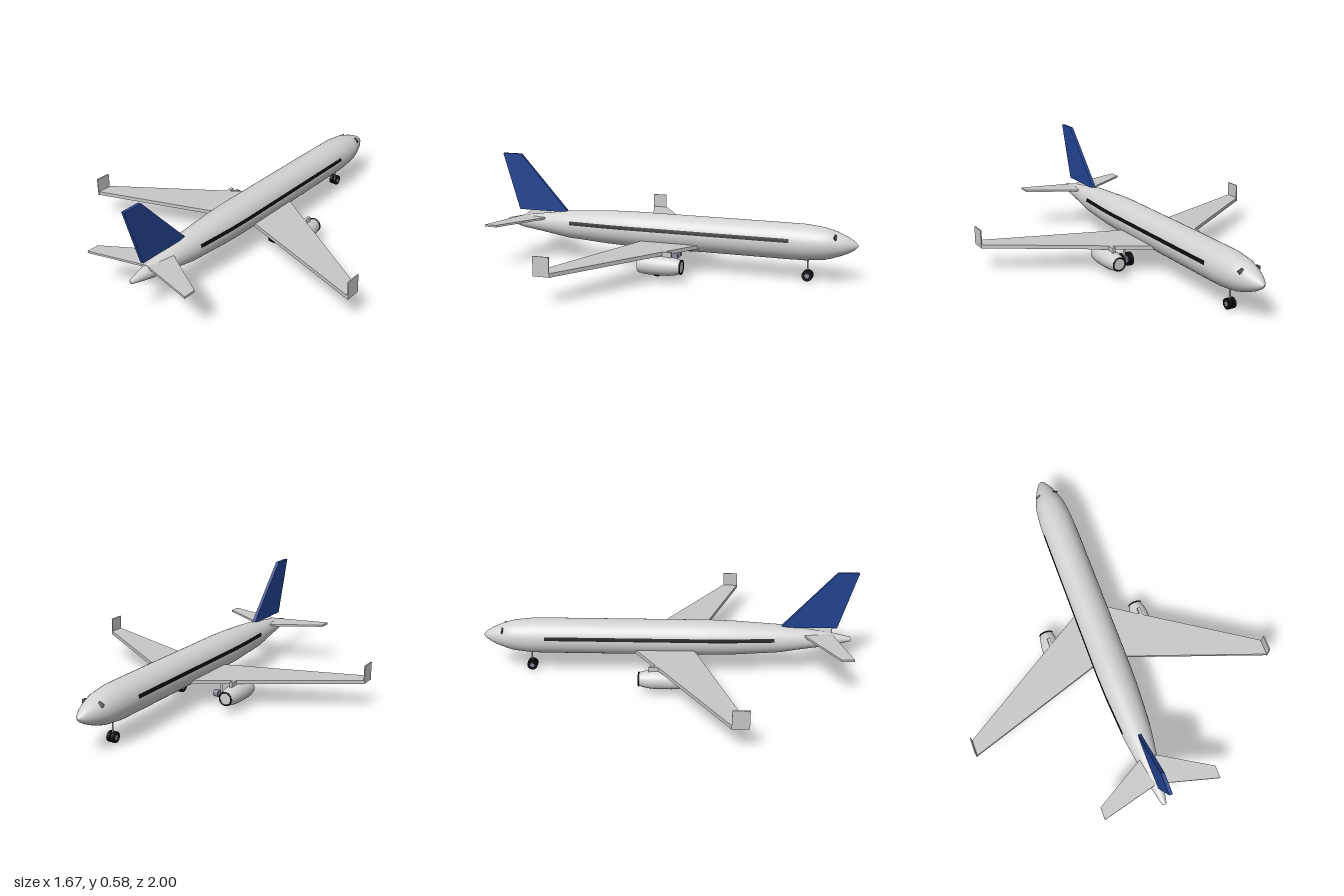
import * as THREE from 'three';

const mat = (name, color, side = THREE.FrontSide) => {
  const m = new THREE.MeshStandardMaterial({ color, side });
  m.name = name;
  return m;
};

export function createModel() {
  const body = mat('body grey', 0xd2d2d2);
  const wingGrey = mat('wing grey', 0xc8c8c8);
  const blue = mat('tail blue', 0x234493);
  const black = mat('black', 0x0c0c0c, THREE.DoubleSide);
  const hubGrey = mat('hub grey', 0x85899a);
  const glass = mat('cockpit glass', 0x4a4d52);

  const plane = new THREE.Group();
  plane.name = 'airliner';
  const add = (name, geometry, material, x = 0, y = 0, z = 0, parent = plane) => {
    const mesh = new THREE.Mesh(geometry, material);
    mesh.name = name;
    mesh.position.set(x, y, z);
    parent.add(mesh);
    return mesh;
  };
  // Body of revolution along z, profile given as [radius, z]
  const lathe = (profile, segments) => new THREE.LatheGeometry(
    profile.map(([r, z]) => new THREE.Vector2(r, z)), segments).rotateX(Math.PI / 2);
  // Polygon extruded to a centred thickness
  const slab = (points, thickness) => new THREE.ExtrudeGeometry(
    new THREE.Shape(points.map(([a, b]) => new THREE.Vector2(a, b))),
    { depth: thickness, bevelEnabled: false }).translate(0, 0, -thickness / 2);
  const flat = (points, t) => slab(points, t).rotateX(Math.PI / 2);   // points are x, z
  const upright = (points, t) => slab(points, t).rotateY(-Math.PI / 2); // points are z, y
  const wheelShape = (r, w) => new THREE.CylinderGeometry(r, r, w, 24).rotateZ(Math.PI / 2);

  // Fuselage
  const axisY = 0.203;
  const profile = [[0, -1], [0.022, -0.98], [0.043, -0.945], [0.06, -0.905], [0.075, -0.86],
    [0.083, -0.83], [0.094, -0.73], [0.095, -0.6], [0.095, 0.22], [0.091, 0.36],
    [0.076, 0.6], [0.056, 0.73], [0.037, 0.87], [0.012, 0.98], [0, 0.985]];
  add('fuselage', lathe(profile, 40), body, 0, axisY, 0);

  const radiusAt = (z) => {
    const i = profile.findIndex((p) => p[1] >= z);
    const [r0, z0] = profile[i - 1], [r1, z1] = profile[i];
    return r0 + (r1 - r0) * (z - z0) / (z1 - z0);
  };

  // Window band that follows the hull
  const windowBand = (s) => {
    const positions = [], index = [];
    const stations = [-0.657, -0.6, 0, 0.22, 0.36, 0.57];
    stations.forEach((z, i) => {
      for (const y of [0.214, 0.224, 0.234]) {
        positions.push(s * (Math.sqrt(radiusAt(z) ** 2 - (y - axisY) ** 2) + 0.002), y, z);
      }
      if (i === 0) return;
      for (let k = 0; k < 2; k++) {
        const a = (i - 1) * 3 + k, b = a + 3;
        if (s > 0) index.push(a, a + 1, b, a + 1, b + 1, b);
        else index.push(a, b, a + 1, a + 1, b, b + 1);
      }
    });
    const g = new THREE.BufferGeometry();
    g.setAttribute('position', new THREE.Float32BufferAttribute(positions, 3));
    g.setIndex(index);
    g.computeVertexNormals();
    return g;
  };

  // Vertical fin
  add('tailFin', upright([[0.605, 0.27], [0.905, 0.27], [1, 0.585], [0.89, 0.585]], 0.018), blue);

  for (const s of [1, -1]) {
    const side = s > 0 ? 'left' : 'right';
    const mirror = (points) => points.map(([x, z]) => [s * x, z]);

    add(side + 'WindowBand', windowBand(s), black);
    const pane = add(side + 'CockpitWindow', new THREE.BoxGeometry(0.028, 0.018, 0.006), glass,
      s * 0.05, 0.249, -0.887);
    pane.rotation.set(0.35, s * -0.3, s * -0.4);

    // Wing, winglet and stabilizer
    add(side + 'Wing', flat(mirror([[0, -0.22], [0.833, 0.32], [0.833, 0.405], [0, 0.118]]), 0.02),
      wingGrey, 0, 0.149, 0);
    add(side + 'Winglet', new THREE.BoxGeometry(0.006, 0.098, 0.084), wingGrey,
      s * 0.83, 0.188, 0.363);
    add(side + 'Stabilizer', flat(mirror([[0, 0.705], [0.315, 0.89], [0.315, 0.957], [0, 0.875]]), 0.011),
      wingGrey, 0, 0.234, 0);

    // Engine
    const engine = new THREE.Group();
    engine.name = side + 'Engine';
    engine.position.set(s * 0.265, 0.085, 0);
    plane.add(engine);
    add('nacelle', lathe([[0.035, -0.143], [0.043, -0.115], [0.049, -0.08], [0.051, -0.04],
      [0.051, 0.03], [0.049, 0.06], [0.044, 0.085]], 28), body, 0, 0, 0, engine);
    add('exhaustDisc', new THREE.CircleGeometry(0.044, 28), body, 0, 0, 0.085, engine);
    add('intakeDisc', new THREE.CircleGeometry(0.036, 28).rotateY(Math.PI), body, 0, 0, -0.143, engine);
    add('intakeRing', new THREE.TorusGeometry(0.035, 0.004, 8, 28), black, 0, 0, -0.143, engine);
    add('pylon', new THREE.BoxGeometry(0.016, 0.04, 0.14), wingGrey, 0, 0.054, -0.02, engine);

    // Main landing gear: tyres are fitted on one side only, bare hubs on the other
    const gear = new THREE.Group();
    gear.name = side + 'MainGear';
    gear.position.set(s * 0.142, 0.038, 0.02);
    plane.add(gear);
    add('strut', new THREE.CylinderGeometry(0.006, 0.006, 0.11, 12), wingGrey, 0, 0.052, 0, gear);
    add('axle', wheelShape(0.006, 0.06), hubGrey, 0, 0, 0, gear);
    for (const k of [-1, 1]) {
      add('hub', wheelShape(0.02, 0.027), hubGrey, k * 0.027, 0, 0, gear);
      if (s > 0) add('tyre', wheelShape(0.038, 0.024), black, k * 0.027, 0, 0, gear);
    }
  }

  // Nose landing gear
  const noseGear = new THREE.Group();
  noseGear.name = 'noseGear';
  noseGear.position.set(0, 0.028, -0.743);
  plane.add(noseGear);
  add('strut', new THREE.CylinderGeometry(0.004, 0.004, 0.1, 12), wingGrey, 0, 0.05, 0, noseGear);
  add('axle', wheelShape(0.005, 0.038), hubGrey, 0, 0, 0, noseGear);
  for (const k of [-1, 1]) {
    add('tyre', wheelShape(0.028, 0.015), black, k * 0.0125, 0, 0, noseGear);
    add('hub', wheelShape(0.012, 0.017), hubGrey, k * 0.0125, 0, 0, noseGear);
  }

  return plane;
}
